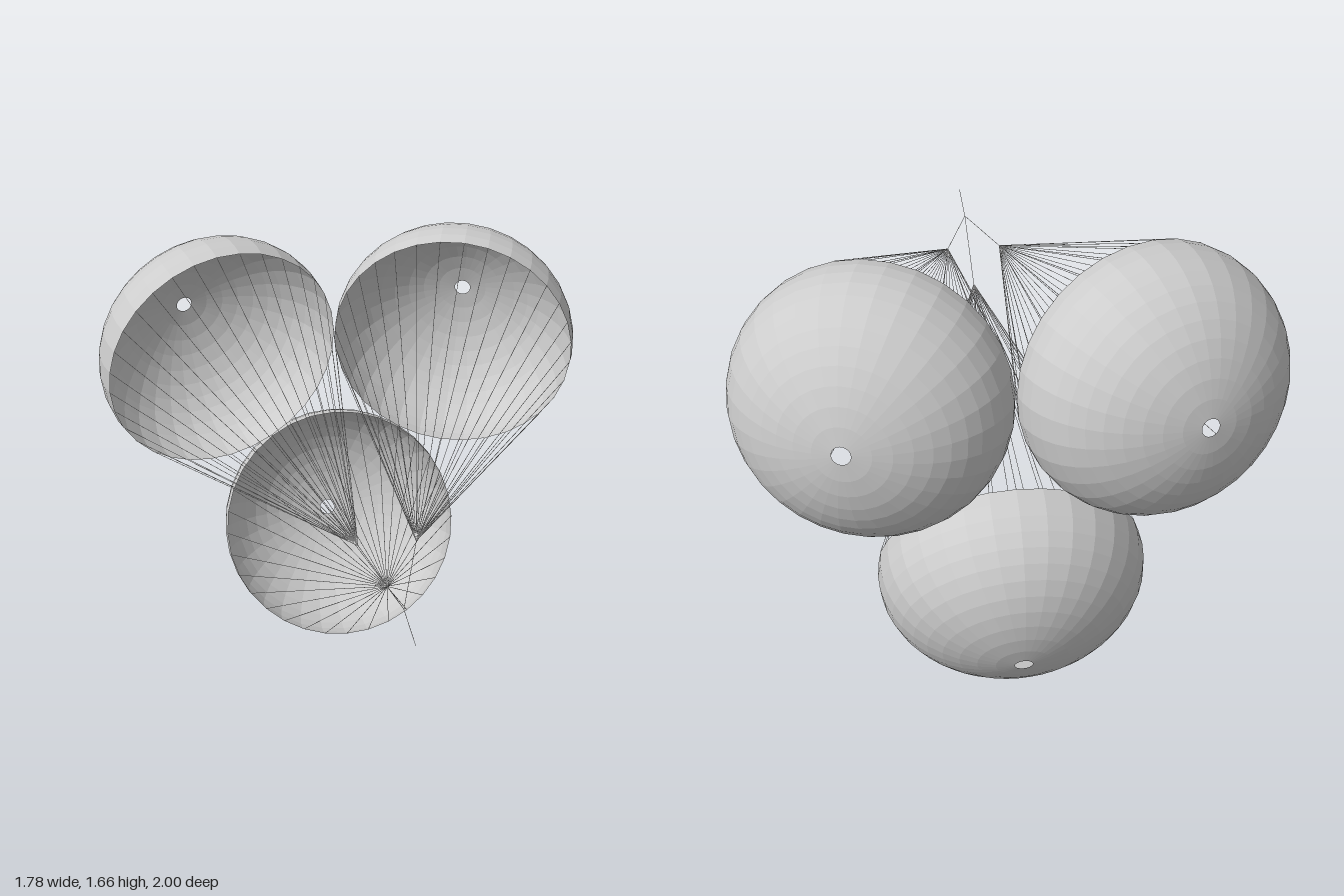
import * as THREE from 'three';

const SEGMENTS = 32; // canopy gores, one cord for each
const RADIUS = 0.453, DEPTH = 0.358; // canopy spheroid
const CENTRE = 1.52, RIM = -0.055; // spheroid centre along the axis, rim offset from it
const KNOT = 0.328; // where the cords of one canopy meet
const TILT = THREE.MathUtils.degToRad(19.8);
const HUB = new THREE.Vector3(0, 0.96, 0.8);

const lightGrey = new THREE.MeshStandardMaterial({ color: 0xcccccc, flatShading: true, side: THREE.DoubleSide });
lightGrey.name = 'lightGrey';

// Thin straight line between two points
function cord(name, a, b, radius = 0.001) {
  const dir = b.clone().sub(a);
  const mesh = new THREE.Mesh(new THREE.CylinderGeometry(radius, radius, dir.length(), 5), lightGrey);
  mesh.name = name;
  mesh.position.copy(a).add(b).multiplyScalar(0.5);
  mesh.quaternion.setFromUnitVectors(new THREE.Vector3(0, 1, 0), dir.normalize());
  return mesh;
}

// One parachute along local +y, with the hub at its origin
function parachute() {
  const group = new THREE.Group();
  group.name = 'parachute';

  // Open spheroid shell from the rim to the vent hole
  const start = Math.asin(RIM / DEPTH), end = Math.acos(0.03 / RADIUS);
  const profile = [];
  for (let i = 0; i <= 12; i++) {
    const a = start + (end - start) * i / 12;
    profile.push(new THREE.Vector2(RADIUS * Math.cos(a), CENTRE + DEPTH * Math.sin(a)));
  }
  const canopy = new THREE.Mesh(new THREE.LatheGeometry(profile, SEGMENTS), lightGrey);
  canopy.name = 'canopy';
  group.add(canopy);

  // Suspension cords from the knot to the rim, and the riser to the hub
  const knot = new THREE.Vector3(0, KNOT, 0);
  const rim = profile[0];
  for (let i = 0; i < SEGMENTS; i++) {
    const a = i / SEGMENTS * Math.PI * 2;
    group.add(cord('suspensionCord', knot, new THREE.Vector3(rim.x * Math.sin(a), rim.y, rim.x * Math.cos(a))));
  }
  group.add(cord('riser', new THREE.Vector3(), knot));
  return group;
}

export function createModel() {
  const model = new THREE.Group();
  model.name = 'parachuteCluster';

  // Three parachutes spread evenly around the hub
  for (let i = 0; i < 3; i++) {
    const chute = parachute();
    chute.rotation.x = -(Math.PI / 2 + TILT);
    const arm = new THREE.Group();
    arm.name = ['lowerParachute', 'leftParachute', 'rightParachute'][i];
    arm.position.copy(HUB);
    arm.rotation.z = i * Math.PI * 2 / 3;
    arm.add(chute);
    model.add(arm);
  }

  // Single line leading forward from the hub
  model.add(cord('mainLine', HUB, new THREE.Vector3(0, HUB.y, 1)));
  return model;
}
